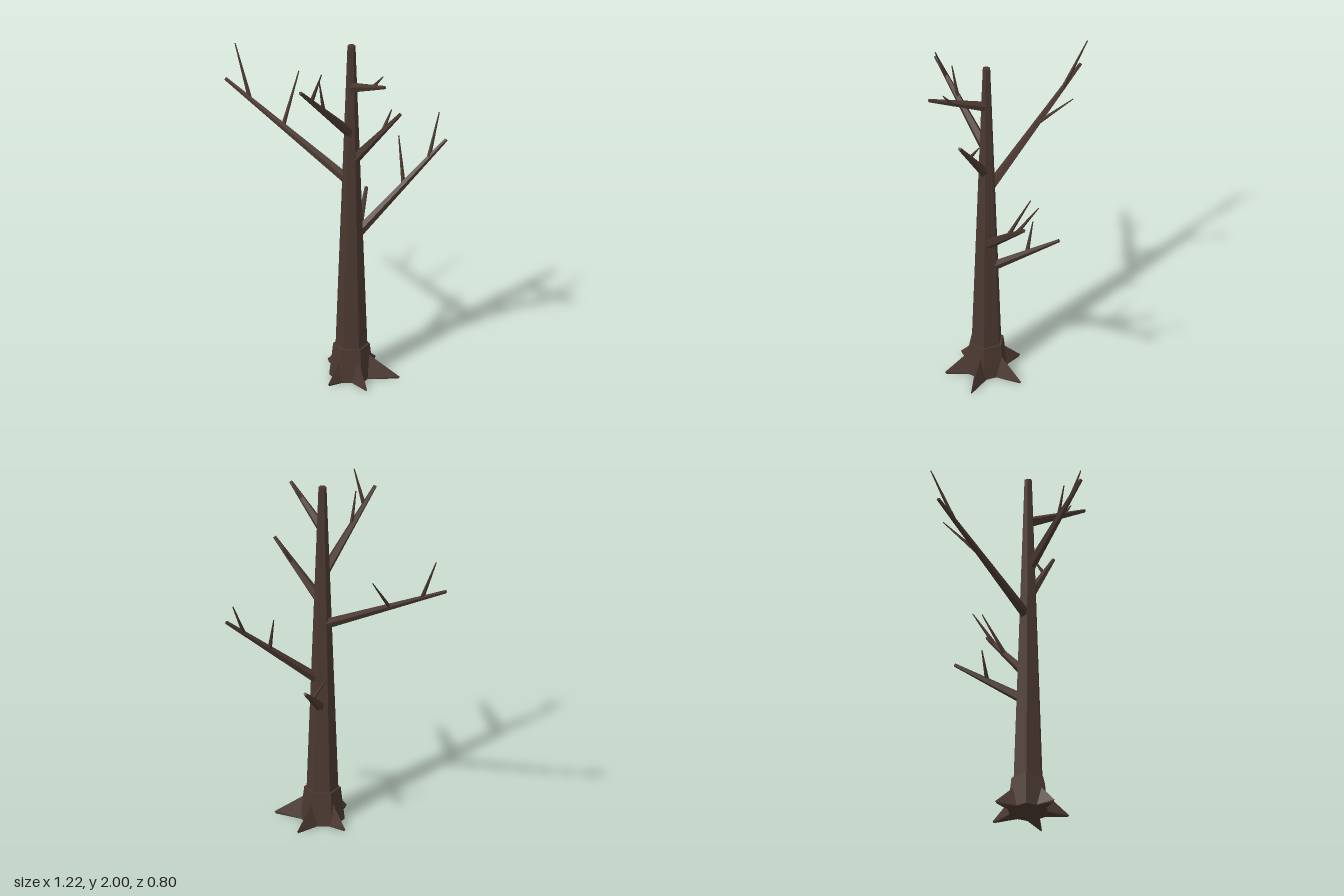
import * as THREE from 'three';

const bark = new THREE.MeshStandardMaterial({ color: 0x4a3830, flatShading: true });
bark.name = 'darkBark';

const AXIS_X = 0.09, AXIS_Z = 0.07;

function add(parent, name, geometry) {
  const mesh = new THREE.Mesh(geometry, bark);
  mesh.name = name;
  parent.add(mesh);
  return mesh;
}

// Tapered six-sided upright section of the trunk
function trunkSection(parent, name, y0, y1, r0, r1) {
  const geo = new THREE.CylinderGeometry(r1, r0, y1 - y0, 6);
  geo.rotateY(Math.PI / 6);
  add(parent, name, geo).position.set(AXIS_X, (y0 + y1) / 2, AXIS_Z);
}

// Tapered limb between two points
function limb(parent, name, from, to, r0, r1, sides) {
  const a = new THREE.Vector3(...from), b = new THREE.Vector3(...to);
  const dir = b.clone().sub(a);
  const mesh = add(parent, name, new THREE.CylinderGeometry(r1, r0, dir.length(), sides));
  mesh.position.copy(a).add(b).multiplyScalar(0.5);
  mesh.quaternion.setFromUnitVectors(new THREE.Vector3(0, 1, 0), dir.normalize());
}

// Wedge-shaped root pointing along +x, with a sloping ridge
function rootGeometry(length) {
  const ridge = [0.07, 0.15, 0], tip = [length, 0.012, 0], foot = [length - 0.01, 0, 0];
  const l = [0.07, 0, 0.045], r = [0.07, 0, -0.045];
  const faces = [ridge, l, tip, ridge, tip, r, l, foot, tip, r, tip, foot, l, r, foot, ridge, r, l];
  const geo = new THREE.BufferGeometry();
  geo.setAttribute('position', new THREE.Float32BufferAttribute(faces.flat(), 3));
  geo.computeVertexNormals();
  return geo;
}

// Each branch: base, tip, then twigs as [base, tip]
const BRANCHES = [
  { from: [0.10, 0.69, 0.04], to: [0.16, 0.94, -0.34],
    twigs: [[[0.13, 0.825, -0.16], [0.045, 0.97, -0.18]]] },
  { from: [0.13, 0.86, 0.05], to: [0.60, 1.30, -0.21],
    twigs: [[[0.37, 1.085, -0.085], [0.34, 1.32, -0.21]],
            [[0.505, 1.21, -0.155], [0.56, 1.43, -0.285]]] },
  { from: [0.07, 1.18, 0.06], to: [-0.61, 1.585, -0.35],
    twigs: [[[-0.29, 1.395, -0.16], [-0.21, 1.63, -0.365]],
            [[-0.475, 1.505, -0.27], [-0.56, 1.78, -0.395]]] },
  { from: [0.11, 1.32, 0.08], to: [0.36, 1.64, 0.18],
    twigs: [[[0.26, 1.51, 0.14], [0.31, 1.62, 0.08]]] },
  { from: [0.08, 1.48, 0.085], to: [-0.18, 1.865, 0.39],
    twigs: [[[-0.055, 1.67, 0.245], [-0.08, 1.88, 0.285]],
            [[-0.12, 1.785, 0.325], [-0.065, 1.97, 0.375]]] },
  { from: [0.095, 1.75, 0.08], to: [0.28, 1.89, 0.36],
    twigs: [[[0.21, 1.835, 0.25], [0.27, 1.92, 0.285]]] },
];

// Each root: compass angle in degrees (from +x towards +z) and reach
const ROOTS = [[10, 0.27], [67, 0.235], [128, 0.2], [231, 0.215], [301, 0.245]];

export function createModel() {
  const tree = new THREE.Group();
  tree.name = 'bareTree';

  trunkSection(tree, 'trunk', 0.1, 2, 0.09, 0.022);
  trunkSection(tree, 'trunkFlare', 0, 0.19, 0.122, 0.1);

  const roots = new THREE.Group();
  roots.name = 'roots';
  tree.add(roots);
  for (const [angle, reach] of ROOTS) {
    const root = add(roots, 'root', rootGeometry(reach));
    root.position.set(AXIS_X, 0, AXIS_Z);
    root.rotation.y = -THREE.MathUtils.degToRad(angle);
  }

  for (const { from, to, twigs } of BRANCHES) {
    const group = new THREE.Group();
    group.name = 'branchWithTwigs';
    tree.add(group);
    limb(group, 'branch', from, to, 0.029, 0.01, 5);
    for (const [a, b] of twigs) limb(group, 'twig', a, b, 0.012, 0.003, 4);
  }
  return tree;
}
